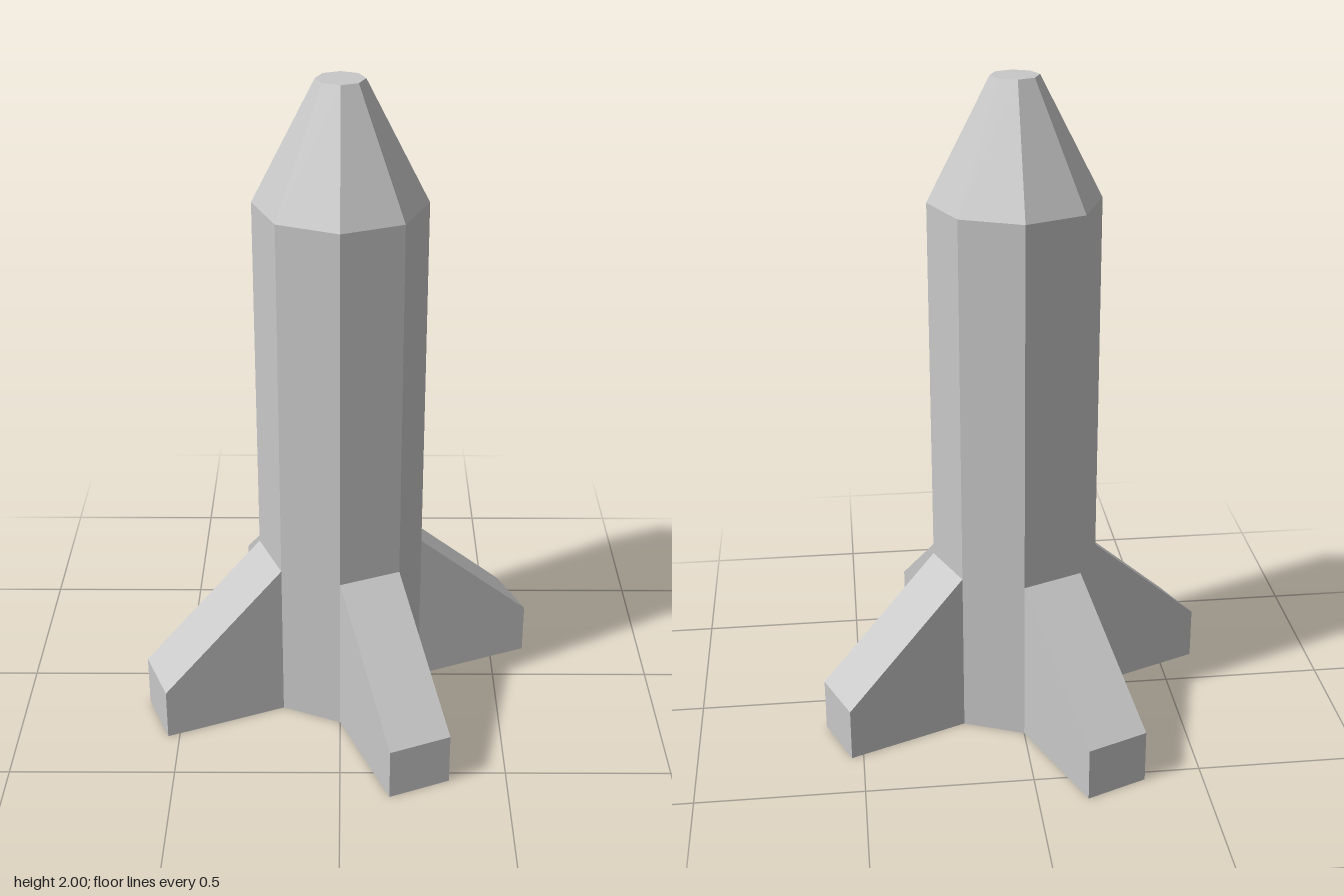
import * as THREE from 'three';

const SIDES = 8;
const RADIUS = 0.255;
const SHOULDER = 1.64; // height where the nose starts
const HEIGHT = 2;

export function createModel() {
  const model = new THREE.Group();
  model.name = 'rocket';
  const grey = new THREE.MeshStandardMaterial({ color: 0xc8c8c8, flatShading: true });
  grey.name = 'light grey';

  const add = (name, geometry, y = 0) => {
    const mesh = new THREE.Mesh(geometry, grey);
    mesh.name = name;
    mesh.position.y = y;
    model.add(mesh);
    return mesh;
  };

  // Octagonal hull, closed underneath by its own disc
  add('body', new THREE.CylinderGeometry(RADIUS, RADIUS, SHOULDER, SIDES, 1, true), SHOULDER / 2);
  add('bodyBase', new THREE.CircleGeometry(RADIUS, SIDES).rotateX(Math.PI / 2));

  // Blunt tapered nose
  const noseHeight = HEIGHT - SHOULDER;
  add('noseCone', new THREE.CylinderGeometry(0.071, RADIUS, noseHeight, SIDES, 1, true), SHOULDER + noseHeight / 2);
  add('noseTip', new THREE.CircleGeometry(0.071, SIDES).rotateX(-Math.PI / 2), HEIGHT);

  // Four fins, each as wide as the hull face it grows from
  const inner = RADIUS * Math.cos(Math.PI / SIDES);
  const width = 2 * RADIUS * Math.sin(Math.PI / SIDES);
  const outer = 0.62;
  const profile = new THREE.Shape([
    new THREE.Vector2(inner, 0),
    new THREE.Vector2(outer, 0),
    new THREE.Vector2(outer, 0.163),
    new THREE.Vector2(inner, 0.513),
  ]);
  const finGeometry = new THREE.ExtrudeGeometry(profile, { depth: width, bevelEnabled: false });
  finGeometry.translate(0, 0, -width / 2);
  for (let i = 0; i < 4; i++) {
    add(`fin${i + 1}`, finGeometry).rotation.y = Math.PI / 8 + (i * Math.PI) / 2;
  }

  return model;
}
